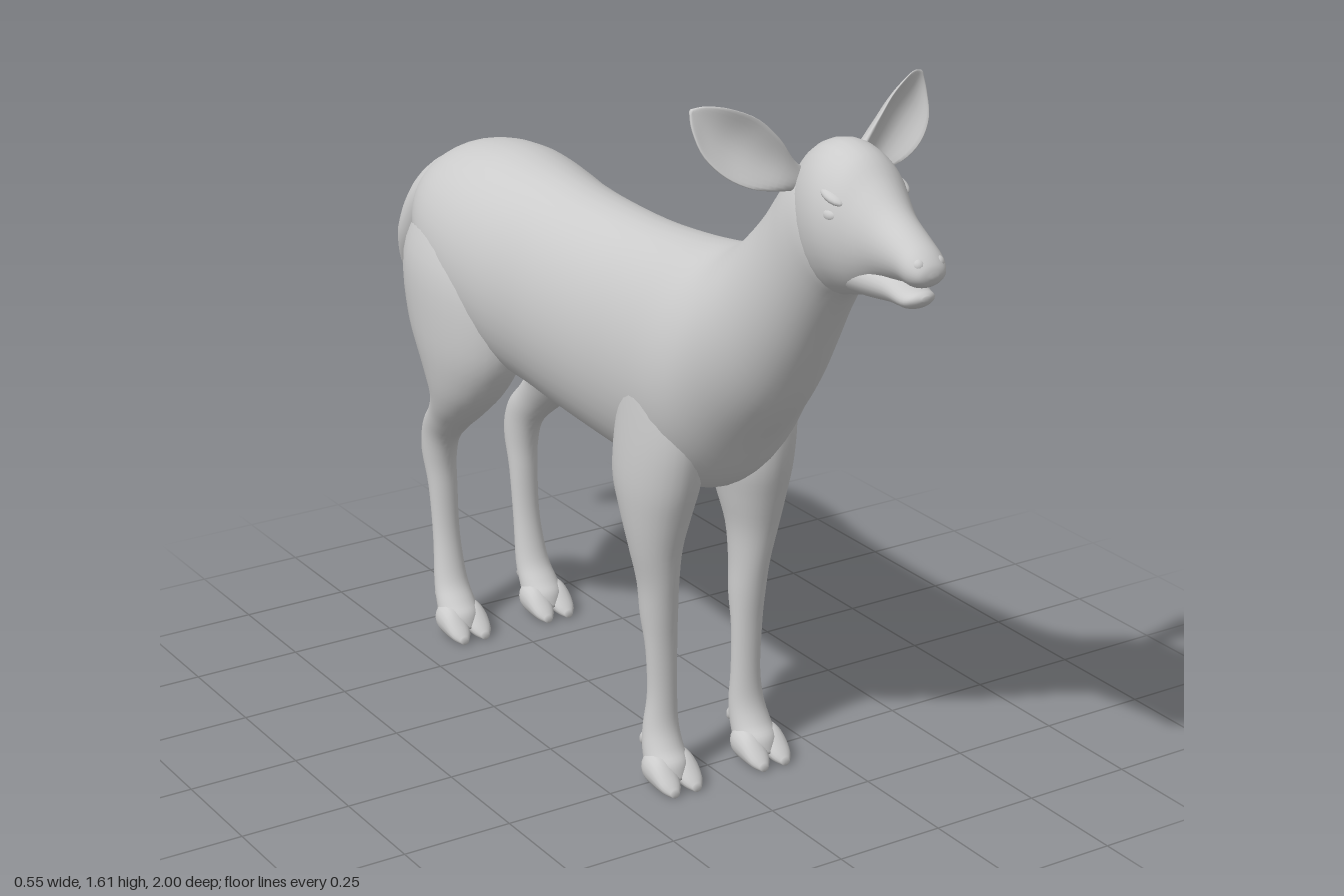
import * as THREE from 'three';

const material = new THREE.MeshStandardMaterial({ color: 0xcccccc });

// Smooth skin over a list of closed point rings, closed with a fan at both ends.
function skin(name, rings, flip = false) {
  const n = rings[0].length, pos = [], idx = [];
  rings.forEach(r => r.forEach(p => pos.push(p.x, p.y, p.z)));
  const tri = (a, b, c) => (flip ? idx.push(a, c, b) : idx.push(a, b, c));
  for (let i = 0; i < rings.length - 1; i++) {
    for (let j = 0; j < n; j++) {
      const a = i * n + j, b = i * n + (j + 1) % n;
      tri(a, a + n, b);
      tri(b, a + n, b + n);
    }
  }
  [0, rings.length - 1].forEach((i, end) => {
    const c = new THREE.Vector3();
    rings[i].forEach(p => c.addScaledVector(p, 1 / n));
    const k = pos.length / 3;
    pos.push(c.x, c.y, c.z);
    for (let j = 0; j < n; j++) {
      const a = i * n + j, b = i * n + (j + 1) % n;
      if (end) tri(a, k, b); else tri(a, b, k);
    }
  });
  const g = new THREE.BufferGeometry();
  g.setAttribute('position', new THREE.Float32BufferAttribute(pos, 3));
  g.setIndex(idx);
  g.computeVertexNormals();
  const mesh = new THREE.Mesh(g, material);
  mesh.name = name;
  return mesh;
}

// Catmull-Rom refinement of rows of numbers.
function refine(rows, steps) {
  const out = [], last = rows.length - 1;
  const row = i => rows[Math.min(Math.max(i, 0), last)];
  for (let i = 0; i < last; i++) {
    for (let s = 0; s < steps; s++) {
      const t = s / steps;
      out.push(rows[0].map((_, k) => {
        const [a, b, c, d] = [row(i - 1)[k], row(i)[k], row(i + 1)[k], row(i + 2)[k]];
        return b + 0.5 * t * (c - a + t * (2 * a - 5 * b + 4 * c - d + t * (3 * (b - c) + d - a)));
      }));
    }
  }
  out.push(rows[last]);
  return out;
}

// Loft through oval sections: [zA, yA, zB, yB, halfWidth, x], A and B on the side outline.
function loft(name, rows, { x = 0, z = 0, sign = 1, sides = 28 } = {}) {
  const rings = refine(rows, 4).map(([zA, yA, zB, yB, w, cx = 0]) =>
    Array.from({ length: sides }, (_, j) => {
      const a = (j / sides) * Math.PI * 2, c = Math.cos(a) / 2;
      return new THREE.Vector3(
        sign * (cx + x) + w * Math.sin(a),
        (yA + yB) / 2 + (yA - yB) * c,
        z + (zA + zB) / 2 + (zA - zB) * c);
    }));
  return skin(name, rings);
}

function blob(name, x, y, z, sx, sy, sz, rx = 0) {
  const m = new THREE.Mesh(new THREE.SphereGeometry(1, 16, 12), material);
  m.name = name;
  m.position.set(x, y, z);
  m.scale.set(sx, sy, sz);
  m.rotation.x = rx;
  return m;
}

const torsoRows = [
  [-0.79, 1.09, -0.79, 1.03, 0.05], [-0.775, 1.14, -0.78, 0.95, 0.125],
  [-0.73, 1.175, -0.735, 0.87, 0.17], [-0.65, 1.20, -0.65, 0.79, 0.202],
  [-0.54, 1.21, -0.54, 0.735, 0.213], [-0.42, 1.202, -0.42, 0.70, 0.203],
  [-0.32, 1.193, -0.32, 0.685, 0.187], [-0.2, 1.185, -0.2, 0.672, 0.183],
  [0, 1.185, 0, 0.657, 0.175], [0.15, 1.195, 0.13, 0.655, 0.181],
  [0.27, 1.21, 0.27, 0.665, 0.19], [0.36, 1.228, 0.355, 0.71, 0.183],
  [0.42, 1.26, 0.44, 0.815, 0.16], [0.47, 1.305, 0.53, 0.92, 0.135],
  [0.52, 1.36, 0.60, 1.025, 0.117], [0.56, 1.415, 0.66, 1.125, 0.106],
  [0.60, 1.465, 0.71, 1.20, 0.101], [0.65, 1.495, 0.745, 1.235, 0.095],
  [0.71, 1.50, 0.78, 1.27, 0.075],
];
const headRows = [
  [0.60, 1.44, 0.65, 1.30, 0.04], [0.61, 1.48, 0.68, 1.25, 0.075],
  [0.66, 1.52, 0.72, 1.225, 0.096], [0.72, 1.535, 0.765, 1.235, 0.104],
  [0.78, 1.52, 0.80, 1.245, 0.097], [0.83, 1.478, 0.83, 1.262, 0.08],
  [0.88, 1.438, 0.87, 1.29, 0.061], [0.94, 1.403, 0.925, 1.306, 0.05],
  [0.975, 1.38, 0.965, 1.305, 0.045], [0.995, 1.358, 0.99, 1.315, 0.031],
  [1.0, 1.342, 1.0, 1.332, 0.008],
];
const jawRows = [
  [0.78, 1.34, 0.78, 1.245, 0.066], [0.84, 1.335, 0.84, 1.25, 0.058],
  [0.90, 1.322, 0.90, 1.257, 0.046], [0.945, 1.30, 0.945, 1.258, 0.038],
  [0.967, 1.297, 0.967, 1.268, 0.027], [0.977, 1.29, 0.977, 1.28, 0.008],
];
const tailRows = [
  [-0.71, 1.07, -0.71, 1.13, 0.04], [-0.79, 1.05, -0.78, 1.137, 0.052],
  [-0.83, 1.0, -0.855, 1.115, 0.067], [-0.87, 0.93, -0.92, 1.06, 0.09],
  [-0.905, 0.865, -0.965, 0.965, 0.098], [-0.945, 0.80, -0.993, 0.87, 0.075],
  [-0.97, 0.775, -1.0, 0.815, 0.045], [-0.985, 0.77, -0.995, 0.785, 0.012],
];
const foreRows = [
  [0.29, 1.03, 0.21, 1.03, 0.03, 0.12], [0.335, 0.94, 0.165, 0.94, 0.06, 0.12],
  [0.36, 0.82, 0.115, 0.82, 0.076, 0.117], [0.346, 0.71, 0.105, 0.70, 0.081, 0.117],
  [0.318, 0.62, 0.135, 0.62, 0.07, 0.121], [0.295, 0.54, 0.165, 0.54, 0.055, 0.123],
  [0.28, 0.46, 0.18, 0.46, 0.044, 0.117], [0.27, 0.39, 0.187, 0.38, 0.041, 0.113],
  [0.263, 0.31, 0.204, 0.30, 0.036, 0.11], [0.262, 0.20, 0.205, 0.20, 0.034, 0.108],
  [0.268, 0.13, 0.197, 0.12, 0.04, 0.111], [0.288, 0.085, 0.203, 0.07, 0.045, 0.114],
  [0.312, 0.058, 0.222, 0.025, 0.047, 0.115], [0.32, 0.025, 0.245, 0.01, 0.035, 0.115],
];
const hindRows = [
  [-0.54, 1.11, -0.64, 1.11, 0.03, 0.12], [-0.46, 1.04, -0.73, 1.05, 0.08, 0.115],
  [-0.39, 0.92, -0.785, 0.95, 0.112, 0.118], [-0.385, 0.77, -0.765, 0.81, 0.11, 0.12],
  [-0.445, 0.665, -0.70, 0.70, 0.09, 0.125], [-0.53, 0.585, -0.67, 0.635, 0.068, 0.128],
  [-0.61, 0.525, -0.71, 0.575, 0.05, 0.122], [-0.665, 0.475, -0.765, 0.515, 0.042, 0.115],
  [-0.69, 0.415, -0.78, 0.445, 0.04, 0.112], [-0.693, 0.34, -0.755, 0.35, 0.035, 0.11],
  [-0.685, 0.23, -0.74, 0.22, 0.033, 0.11], [-0.66, 0.13, -0.727, 0.11, 0.04, 0.112],
  [-0.628, 0.085, -0.71, 0.065, 0.045, 0.114], [-0.603, 0.058, -0.69, 0.025, 0.047, 0.115],
  [-0.595, 0.025, -0.67, 0.01, 0.035, 0.115],
];
const toeRows = [
  [-0.015, 0.05, -0.01, 0.025, 0.012], [0.01, 0.075, 0.01, 0.005, 0.027],
  [0.05, 0.07, 0.05, 0, 0.03], [0.085, 0.038, 0.085, 0, 0.024],
  [0.104, 0.016, 0.104, 0, 0.01],
];

// Leg with a cloven hoof and two dewclaws.
function leg(name, rows, sign, ankleZ) {
  const g = new THREE.Group();
  g.name = name;
  g.add(loft('limb', rows, { sign }));
  for (const s of [-1, 1]) {
    g.add(loft('toe', toeRows, { x: 0.115 + s * 0.028, z: ankleZ, sign, sides: 16 }));
    g.add(blob('dewclaw', sign * (0.113 + s * 0.02), 0.083, ankleZ - 0.038, 0.01, 0.019, 0.011, 0.4));
  }
  return g;
}

// Leaf-shaped ear, cupped towards the front: [x, y, z, halfBreadth, cup, thickness].
function ear(sign) {
  const rows = refine([
    [0.05, 1.44, 0.64, 0.022, 0.0, 0.018], [0.095, 1.457, 0.632, 0.034, 0.016, 0.022],
    [0.145, 1.49, 0.617, 0.055, 0.038, 0.017], [0.193, 1.525, 0.602, 0.064, 0.042, 0.012],
    [0.235, 1.556, 0.592, 0.053, 0.03, 0.010], [0.26, 1.582, 0.586, 0.028, 0.012, 0.008],
    [0.272, 1.597, 0.585, 0.004, 0.0, 0.004],
  ], 4);
  const rings = rows.map(([x, y, z, w, cup, t]) => Array.from({ length: 24 }, (_, j) => {
    const a = (j / 24) * Math.PI * 2, c = Math.cos(a);
    return new THREE.Vector3(sign * (x - 0.57 * w * c), y + 0.82 * w * c, z + cup * c * c + t * Math.sin(a));
  }));
  return skin('ear', rings, sign > 0);
}

export function createModel() {
  const model = new THREE.Group();
  model.name = 'deer';
  model.add(loft('torsoAndNeck', torsoRows, { sides: 40 }), loft('tail', tailRows));

  const head = new THREE.Group();
  head.name = 'head';
  head.add(loft('skull', headRows, { sides: 32 }), loft('lowerJaw', jawRows));
  for (const s of [-1, 1]) {
    head.add(ear(s));
    head.add(blob('eye', s * 0.085, 1.413, 0.78, 0.013, 0.014, 0.022));
    head.add(blob('brow', s * 0.074, 1.447, 0.775, 0.02, 0.012, 0.036, 0.3));
    head.add(blob('nostril', s * 0.022, 1.355, 0.977, 0.014, 0.014, 0.014));
  }
  model.add(head);

  for (const [side, s] of [['left', 1], ['right', -1]]) {
    model.add(leg(side + 'FrontLeg', foreRows, s, 0.24));
    model.add(leg(side + 'HindLeg', hindRows, s, -0.675));
  }
  return model;
}
